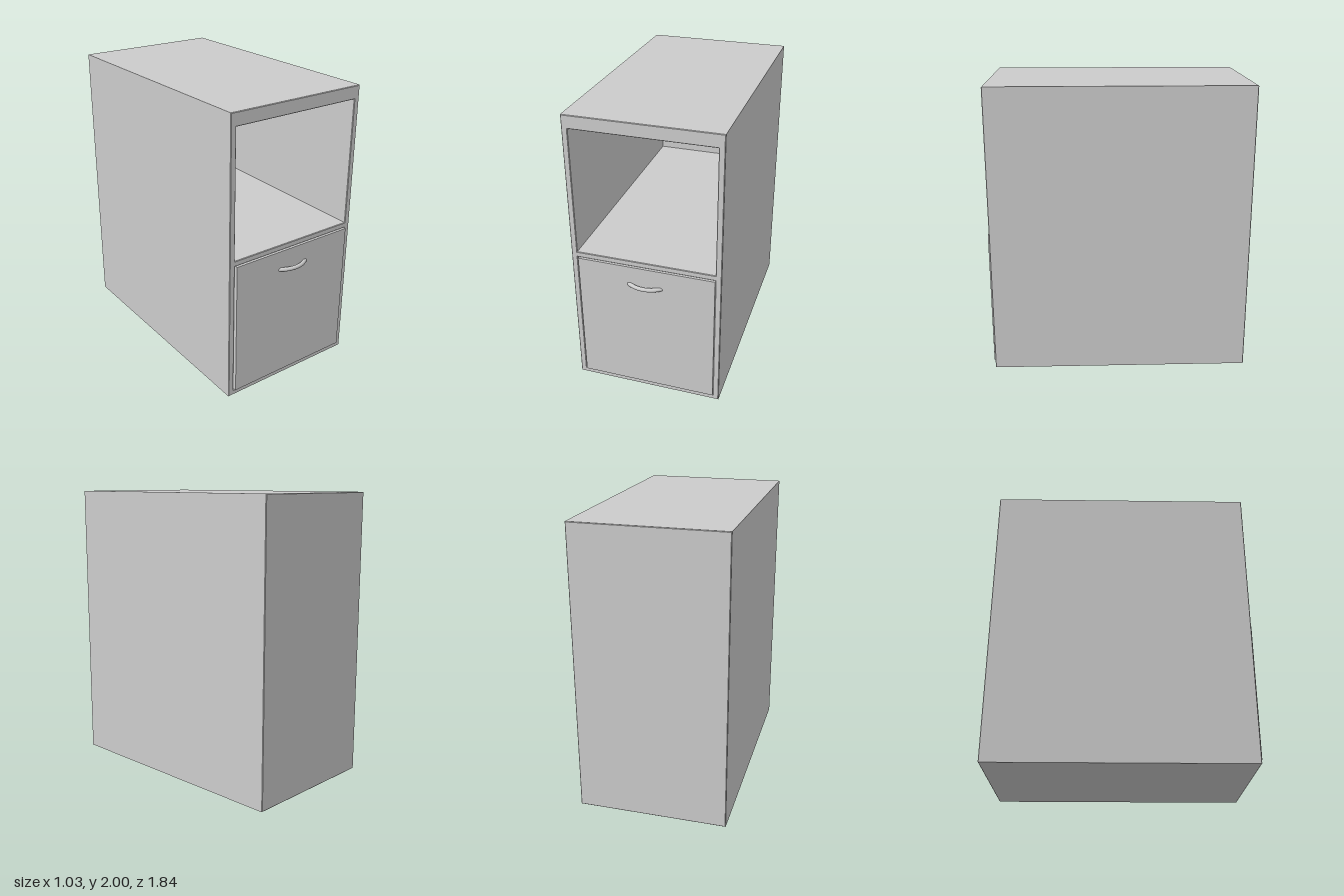
import * as THREE from 'three';

const grey = new THREE.MeshStandardMaterial({ color: 0xcccccc });

function rect(Type, x0, y0, x1, y1) {
  return new Type([[x0, y0], [x1, y0], [x1, y1], [x0, y1]].map(([x, y]) => new THREE.Vector2(x, y)));
}

export function createModel() {
  const cabinet = new THREE.Group();
  cabinet.name = 'cabinet';
  const add = (name, geometry) => {
    const mesh = new THREE.Mesh(geometry, grey);
    mesh.name = name;
    cabinet.add(mesh);
    return mesh;
  };
  const box = (name, x0, x1, y0, y1, z0, z1) =>
    add(name, new THREE.BoxGeometry(x1 - x0, y1 - y0, z1 - z0))
      .position.set((x0 + x1) / 2, (y0 + y1) / 2, (z0 + z1) / 2);

  // Carcass: one sleeve with an open shelf above and a drawer bay below
  const back = -0.92, front = 0.86, bevel = 0.004;
  const outline = rect(THREE.Shape, -0.515, 0, 0.515, 2);
  outline.holes.push(
    rect(THREE.Path, -0.475, 1.03, 0.475, 1.91),
    rect(THREE.Path, -0.475, 0.037, 0.475, 0.992));
  const sleeve = new THREE.ExtrudeGeometry(outline, {
    depth: front - back - 2 * bevel, bevelThickness: bevel, bevelSize: bevel,
    bevelOffset: -bevel, bevelSegments: 1,
  });
  sleeve.translate(0, 0, back + bevel);
  add('carcass', sleeve);
  box('backPanel', -0.511, 0.511, 0.004, 1.996, back, back + 0.01);

  // Drawer: face standing slightly proud, with a shallow-walled tray behind
  box('drawerFace', -0.466, 0.475, 0.04, 0.99, 0.83, 0.872);
  box('drawerBottom', -0.45, 0.45, 0.06, 0.08, -0.88, 0.83);
  box('drawerBack', -0.43, 0.43, 0.08, 0.85, -0.88, -0.86);
  for (const side of [-1, 1]) {
    box(side < 0 ? 'drawerRightSide' : 'drawerLeftSide',
      side * 0.44 - 0.01, side * 0.44 + 0.01, 0.08, 0.85, -0.88, 0.83);
  }

  // Handle: bowed round bar with ends sunk into the drawer face
  const arc = new THREE.CatmullRomCurve3(
    [[-0.11, 0.866], [-0.09, 0.88], [-0.05, 0.897], [0, 0.904], [0.05, 0.897], [0.09, 0.88], [0.11, 0.866]]
      .map(([x, z]) => new THREE.Vector3(x, 0.855, z)));
  add('handle', new THREE.TubeGeometry(arc, 32, 0.014, 14));
  for (const side of [-1, 1]) {
    add('handleEnd', new THREE.SphereGeometry(0.014, 14, 10)).position.set(side * 0.11, 0.855, 0.866);
  }
  return cabinet;
}
